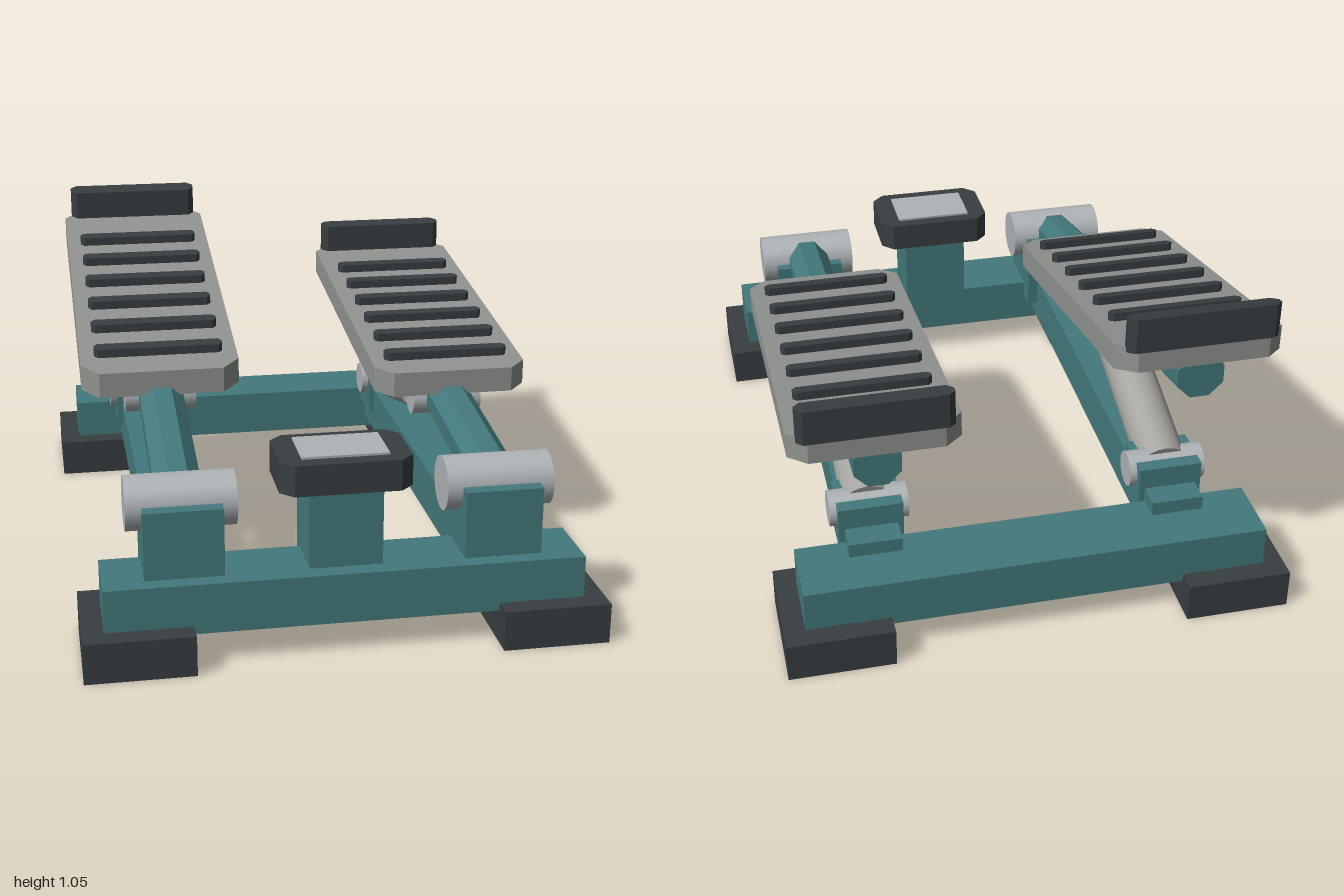
import * as THREE from 'three';

const material = (color, flat = false) =>
  new THREE.MeshStandardMaterial({ color, flatShading: flat });

export function createModel() {
  const model = new THREE.Group();
  const teal = material(0x43797c, true);
  const dark = material(0x383e41, true);
  const grey = material(0x90938f, true);
  const silver = material(0xaeb3b6);
  const damperGrey = material(0xa3a29e);

  function add(name, geometry, mat, parent = model) {
    const mesh = new THREE.Mesh(geometry, mat);
    mesh.name = name;
    parent.add(mesh);
    return mesh;
  }

  // Box given by its limits on each axis
  function box(name, [x0, x1], [y0, y1], [z0, z1], mat, parent) {
    const g = new THREE.BoxGeometry(x1 - x0, y1 - y0, z1 - z0);
    g.translate((x0 + x1) / 2, (y0 + y1) / 2, (z0 + z1) / 2);
    return add(name, g, mat, parent);
  }

  // Upright block whose plan has cut corners
  function chamferBlock(halfX, [z0, z1], [y0, y1], cut) {
    const zc = (z0 + z1) / 2, hz = (z1 - z0) / 2;
    const shape = new THREE.Shape([
      [halfX - cut, -hz], [halfX, cut - hz], [halfX, hz - cut], [halfX - cut, hz],
      [cut - halfX, hz], [-halfX, hz - cut], [-halfX, cut - hz], [cut - halfX, -hz],
    ].map(([x, y]) => new THREE.Vector2(x, y)));
    const g = new THREE.ExtrudeGeometry(shape, { depth: y1 - y0, bevelEnabled: false });
    return g.rotateX(-Math.PI / 2).translate(0, y0, zc);
  }

  // Cylinder lying across the machine
  function crossPin(name, radius, halfLength, y, z, parent) {
    const g = new THREE.CylinderGeometry(radius, radius, halfLength * 2, 24);
    g.rotateZ(Math.PI / 2).translate(0, y, z);
    return add(name, g, silver, parent);
  }

  // Cylinder between two points
  function rod(name, a, b, radius, mat, parent) {
    const dir = b.clone().sub(a);
    const mesh = add(name, new THREE.CylinderGeometry(radius, radius, dir.length(), 20), mat, parent);
    mesh.position.copy(a).add(b).multiplyScalar(0.5);
    mesh.quaternion.setFromUnitVectors(new THREE.Vector3(0, 1, 0), dir.normalize());
    return mesh;
  }

  // Base frame and feet
  for (const end of [1, -1]) {
    box(end > 0 ? 'frontBeam' : 'rearBeam', [-0.715, 0.715], [0.1, 0.255],
      end > 0 ? [0.715, 0.935] : [-0.935, -0.715], teal);
    for (const side of [1, -1]) {
      box('foot', side > 0 ? [0.455, 0.78] : [-0.78, -0.455], [0, 0.125],
        end > 0 ? [0.645, 1] : [-1, -0.645], dark);
    }
  }

  // Central display on its post
  box('displayPost', [-0.11, 0.11], [0.2, 0.5], [0.67, 0.88], teal);
  add('displayHousing', chamferBlock(0.197, [0.65, 0.91], [0.495, 0.59], 0.04), dark);
  box('displayScreen', [-0.13, 0.13], [0.58, 0.597], [0.69, 0.862], silver);

  // One stepper unit per side; slope sets how far its pedal is raised
  const hubY = 0.45, hubZ = 0.76;
  function stepper(name, x, slope) {
    const unit = new THREE.Group();
    unit.name = name;
    unit.position.x = x;
    model.add(unit);

    const lift = z => hubY + slope * (hubZ - z);
    // Tilts a part along the arm while its ends stay upright
    function tilt(g) {
      const p = g.attributes.position;
      for (let i = 0; i < p.count; i++) p.setY(i, p.getY(i) + lift(p.getZ(i)));
      g.computeVertexNormals();
      return g;
    }

    // Fixed supports
    box('sideRail', [-0.082, 0.082], [0.145, 0.3], [-0.79, 0.73], teal, unit);
    box('pivotPost', [-0.117, 0.117], [0.2, 0.463], [0.645, 0.885], teal, unit);
    box('damperBracket', [-0.1, 0.1], [0.215, 0.37], [-0.71, -0.55], teal, unit);
    crossPin('pivotHub', 0.083, 0.163, hubY, hubZ, unit);

    // Octagonal arm
    const arm = new THREE.CylinderGeometry(0.0755, 0.0755, 1.62, 8);
    arm.rotateY(Math.PI / 8).rotateX(Math.PI / 2).translate(0, 0, -0.08);
    add('pedalArm', tilt(arm), teal, unit);

    // Foot plate, heel stop and grip ribs
    add('footPlate', tilt(chamferBlock(0.252, [-0.905, 0.268], [0.045, 0.125], 0.055)), grey, unit);
    add('heelStop', tilt(chamferBlock(0.227, [-0.908, -0.845], [0.11, 0.22], 0.02)), dark, unit);
    for (let i = 0; i < 6; i++) {
      const z = 0.152 - i * 0.158;
      add('gripRib', tilt(chamferBlock(0.206, [z - 0.019, z + 0.019], [0.115, 0.152], 0.012)), dark, unit);
    }

    // Damper between bracket and arm
    const base = new THREE.Vector3(0, 0.327, -0.63);
    const top = new THREE.Vector3(0, lift(0.15) - 0.014, 0.15);
    const neck = base.clone().lerp(top, 0.61);
    crossPin('damperBasePin', 0.056, 0.122, base.y, base.z, unit);
    crossPin('damperTopPin', 0.055, 0.114, top.y, top.z, unit);
    rod('damperBody', base, neck, 0.078, damperGrey, unit);
    rod('damperRod', neck, top, 0.035, silver, unit);
  }
  stepper('leftStepper', 0.475, 0.124);
  stepper('rightStepper', -0.475, 0.226);

  return model;
}
